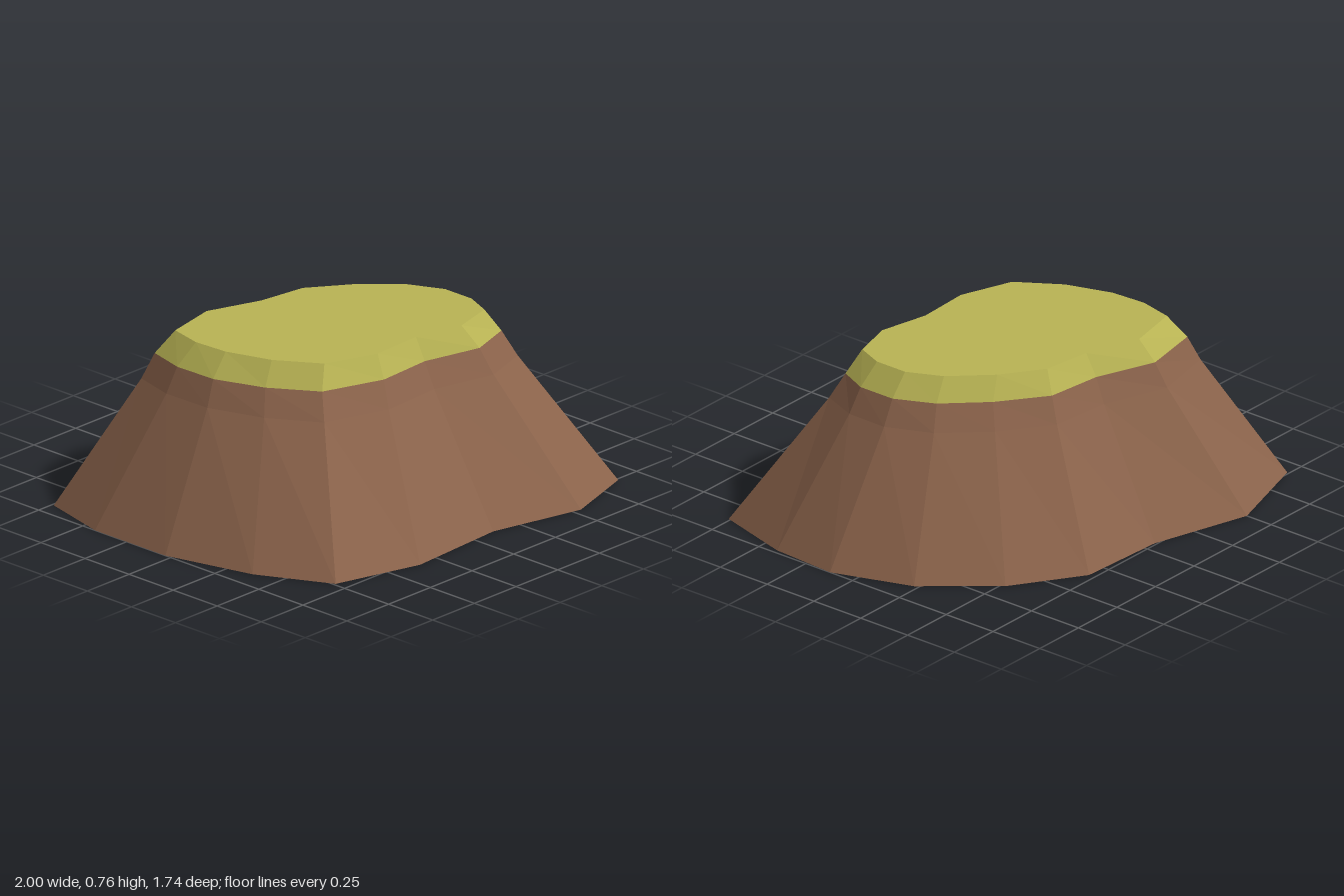
import * as THREE from 'three';

// Outlines as [x, z], running from the back left corner towards +x
const baseOutline = [
  [-0.92, -0.74], [-0.5, -0.87], [-0.06, -0.74], [0.34, -0.72],
  [0.64, -0.52], [0.88, -0.23], [1, 0.12], [0.98, 0.42],
  [0.88, 0.76], [0.54, 0.87], [0.12, 0.77], [-0.35, 0.8],
  [-0.74, 0.69], [-0.9, 0.37], [-1, -0.03], [-1, -0.43],
];
const rimOutline = [
  [-0.6, -0.47], [-0.33, -0.52], [-0.07, -0.42], [0.18, -0.39],
  [0.38, -0.24], [0.54, -0.07], [0.62, 0.1], [0.62, 0.27],
  [0.56, 0.4], [0.36, 0.465], [0.1, 0.4], [-0.16, 0.415],
  [-0.43, 0.32], [-0.56, 0.12], [-0.64, -0.1], [-0.645, -0.3],
];
const topOutline = [
  [-0.54, -0.41], [-0.3, -0.46], [-0.06, -0.375], [0.155, -0.345],
  [0.33, -0.22], [0.48, -0.06], [0.55, 0.09], [0.55, 0.24],
  [0.5, 0.36], [0.31, 0.41], [0.09, 0.36], [-0.15, 0.37],
  [-0.38, 0.285], [-0.5, 0.1], [-0.565, -0.1], [-0.575, -0.26],
];

const ring = (outline, y) => outline.map(([x, z]) => new THREE.Vector3(x, y, z));

// Joins rings from bottom to top, with an optional flat cap at either end
function loft(rings, capBottom, capTop) {
  const n = rings[0].length;
  const index = [];
  for (let r = 0; r < rings.length - 1; r++) {
    for (let i = 0; i < n; i++) {
      const j = (i + 1) % n;
      const a = r * n + i, b = r * n + j, c = b + n, d = a + n;
      index.push(a, d, c, a, c, b);
    }
  }
  const capFaces = (points) =>
    THREE.ShapeUtils.triangulateShape(points.map((p) => new THREE.Vector2(p.x, p.z)), []);
  if (capBottom) {
    for (const [a, b, c] of capFaces(rings[0])) index.push(a, b, c);
  }
  if (capTop) {
    const o = (rings.length - 1) * n;
    for (const [a, b, c] of capFaces(rings[rings.length - 1])) index.push(o + a, o + c, o + b);
  }
  const indexed = new THREE.BufferGeometry().setFromPoints(rings.flat());
  indexed.setIndex(index);
  const geometry = indexed.toNonIndexed();
  geometry.computeVertexNormals();
  return geometry;
}

function addPart(group, name, geometry, color) {
  const mesh = new THREE.Mesh(geometry, new THREE.MeshStandardMaterial({ color, flatShading: true }));
  mesh.name = name;
  group.add(mesh);
}

export function createModel() {
  const group = new THREE.Group();
  group.name = 'plateau';

  const rimY = 0.66, topY = 0.76;
  const base = ring(baseOutline, 0);
  const rim = ring(rimOutline, rimY);
  const top = ring(topOutline, topY);

  // Slight inward bend of the slope just below the grass
  const bend = base.map((p, i) => {
    const q = p.clone().lerp(rim[i], 0.55 / rimY);
    q.x *= 0.985;
    q.z *= 0.98;
    return q;
  });

  // Earth slope with its closed underside
  addPart(group, 'earthSlope', loft([base, bend, rim], true, false), 0x8b634b);

  // Grass band and flat grass top
  addPart(group, 'grassCap', loft([rim, top], false, true), 0xb9b454);

  return group;
}
